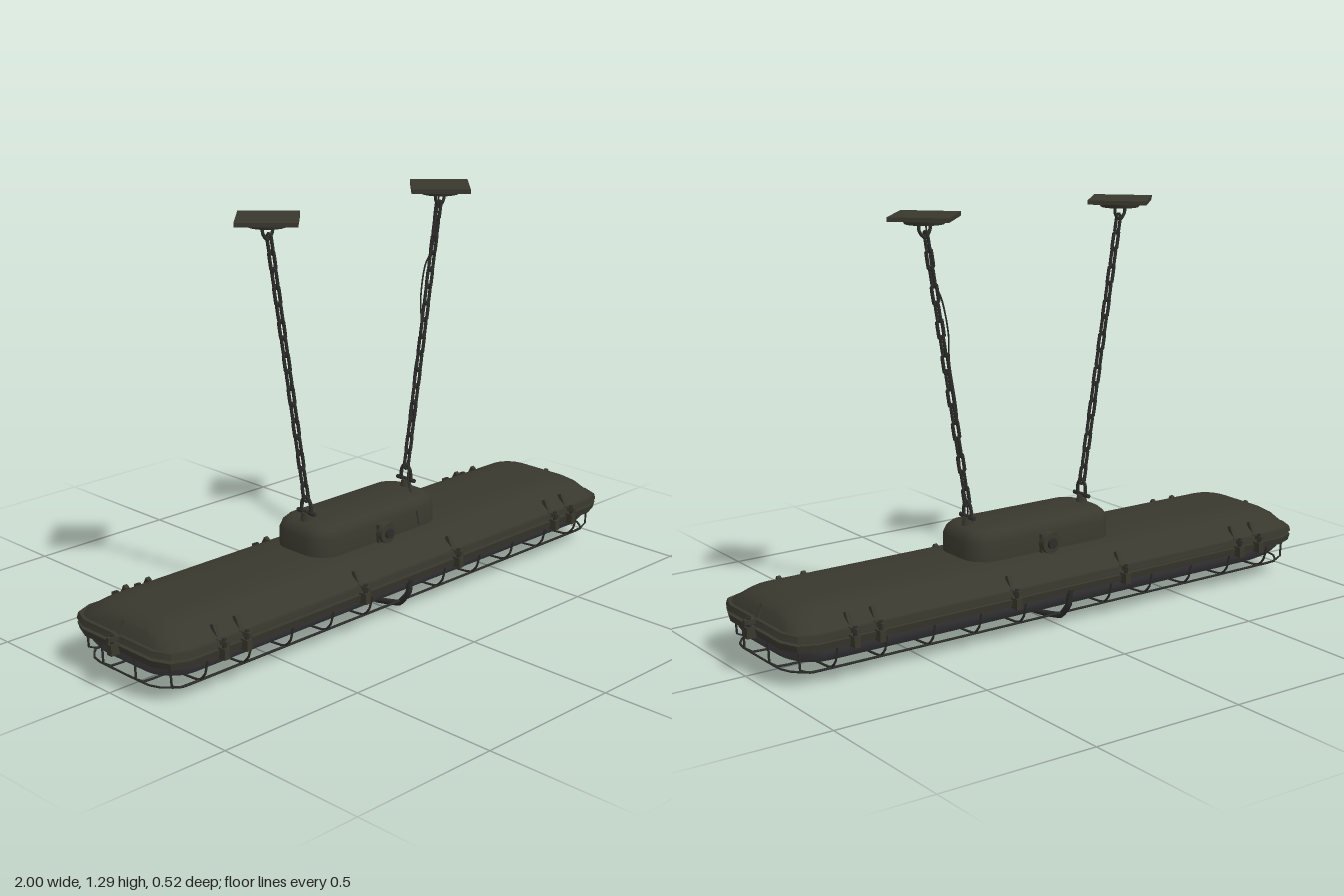
import * as THREE from 'three';
import { toCreasedNormals } from 'three/addons/utils/BufferGeometryUtils.js';

const mat = (name, color) => {
  const m = new THREE.MeshStandardMaterial({ color });
  m.name = name;
  return m;
};
const V = (x, y, z) => new THREE.Vector3(x, y, z);

// Rounded rectangle in the xz plane
function outline(hx, hz, r, seg) {
  const pts = [];
  [[1, 1], [-1, 1], [-1, -1], [1, -1]].forEach(([sx, sz], q) => {
    for (let i = 0; i <= seg; i++) {
      const a = (q + i / seg) * Math.PI / 2;
      pts.push([sx * (hx - r) + r * Math.cos(a), sz * (hz - r) + r * Math.sin(a)]);
    }
  });
  return pts;
}

// Closed body through sections [y, halfX, halfZ, cornerRadius], bottom to top
function loft(sections, seg, crease = 0.6) {
  const pos = [];
  const rings = sections.map(([y, hx, hz, r]) => outline(hx, hz, r, seg).map(([x, z]) => [x, y, z]));
  const n = rings[0].length;
  const last = rings.length - 1;
  const bottom = [0, sections[0][0], 0], top = [0, sections[last][0], 0];
  for (let i = 0; i < n; i++) {
    const j = (i + 1) % n;
    for (let k = 0; k < last; k++) {
      const a = rings[k][i], b = rings[k][j], c = rings[k + 1][j], d = rings[k + 1][i];
      pos.push(...a, ...d, ...b, ...b, ...d, ...c);
    }
    pos.push(...bottom, ...rings[0][i], ...rings[0][j]);
    pos.push(...top, ...rings[last][j], ...rings[last][i]);
  }
  const g = new THREE.BufferGeometry();
  g.setAttribute('position', new THREE.Float32BufferAttribute(pos, 3));
  return toCreasedNormals(g, crease);
}

// Round bar along points
function bar(points, radius, { closed = false, tension = 0.2, steps = 32, sides = 6 } = {}) {
  const curve = new THREE.CatmullRomCurve3(points, closed, 'catmullrom', tension);
  return new THREE.TubeGeometry(curve, steps, radius, sides, closed);
}

export function createModel() {
  const root = new THREE.Group();
  root.name = 'hangingLamp';
  const paint = mat('olive paint', 0x39382e);
  const glass = mat('smoked glass', 0x424245);
  const steel = mat('dark steel', 0x2c2c2a);

  const add = (name, geo, material, parent = root, x = 0, y = 0, z = 0) => {
    const m = new THREE.Mesh(geo, material);
    m.name = name;
    m.position.set(x, y, z);
    parent.add(m);
    return m;
  };
  const group = (name, parent = root) => {
    const g = new THREE.Group();
    g.name = name;
    parent.add(g);
    return g;
  };

  // Lamp body
  add('glassCover', loft([
    [0.046, 0.86, 0.11, 0.07], [0.054, 0.9, 0.155, 0.09], [0.075, 0.935, 0.19, 0.1],
    [0.1, 0.95, 0.21, 0.1], [0.125, 0.955, 0.218, 0.1],
  ], 6, 0.9), glass);
  add('flange', loft([
    [0.118, 0.965, 0.232, 0.08], [0.14, 0.97, 0.236, 0.08], [0.14, 0.955, 0.222, 0.08],
    [0.15, 0.955, 0.222, 0.08], [0.15, 0.97, 0.238, 0.08], [0.168, 0.965, 0.236, 0.08],
  ], 2), paint);
  add('housing', loft([
    [0.165, 0.955, 0.228, 0.08], [0.175, 0.95, 0.218, 0.08], [0.2, 0.935, 0.182, 0.08],
    [0.215, 0.91, 0.158, 0.07], [0.224, 0.87, 0.13, 0.06], [0.229, 0.82, 0.1, 0.05],
  ], 4, 0.5), paint);
  add('gearBox', loft([
    [0.2, 0.27, 0.114, 0.07], [0.285, 0.27, 0.114, 0.07], [0.305, 0.262, 0.106, 0.065],
    [0.318, 0.248, 0.094, 0.06], [0.324, 0.23, 0.08, 0.05],
  ], 6, 0.7), paint);

  // Cable glands on both long sides of the gear box
  for (const s of [1, -1]) {
    const gland = group('cableGland');
    gland.position.set(0, 0.255, s * 0.114);
    add('glandBase', new THREE.BoxGeometry(0.06, 0.06, 0.024), paint, gland);
    const nut = add('glandNut', new THREE.CylinderGeometry(0.033, 0.035, 0.022, 16), paint, gland, 0, 0, s * 0.014);
    nut.rotation.x = s * Math.PI / 2;
    const plug = add('glandPlug', new THREE.CylinderGeometry(0.016, 0.018, 0.012, 12), steel, gland, 0, 0, s * 0.027);
    plug.rotation.x = s * Math.PI / 2;
  }

  // Clamps around the flange; local +z points outward, origin at the tip
  const clamp = (x, z, turn) => {
    const g = group('clamp');
    g.position.set(x, 0, z);
    g.rotation.y = turn;
    const arm = new THREE.BoxGeometry(0.024, 0.014, 0.07, 1, 1, 2);
    const p = arm.attributes.position;
    for (let i = 0; i < p.count; i++) if (p.getZ(i) > 0.03) p.setX(i, p.getX(i) * 0.45);
    add('clampArm', toCreasedNormals(arm, 0.3), paint, g, 0, 0.163, -0.035);
    add('clampHook', new THREE.BoxGeometry(0.02, 0.034, 0.03), paint, g, 0, 0.13, -0.02);
    add('clampBolt', new THREE.CylinderGeometry(0.007, 0.007, 0.06, 8), steel, g, 0, 0.145, -0.017);
    const lever = add('clampLever', new THREE.BoxGeometry(0.014, 0.045, 0.014), paint, g, 0, 0.185, -0.055);
    lever.rotation.x = -0.5;
  };
  for (const x of [-0.775, -0.69, -0.21, 0.21, 0.69, 0.775]) {
    clamp(x, 0.262, 0);
    clamp(x, -0.262, Math.PI);
  }
  clamp(1, 0, Math.PI / 2);
  clamp(-1, 0, -Math.PI / 2);

  // Wire guard under the glass
  const guard = group('wireGuard');
  for (let k = -5; k <= 5; k++) {
    const x = k * 0.165;
    if (k === 0) continue;
    add('crossWire', bar([
      V(x, 0.125, 0.23), V(x, 0.075, 0.218), V(x, 0.045, 0.185), V(x, 0.036, 0),
      V(x, 0.045, -0.185), V(x, 0.075, -0.218), V(x, 0.125, -0.23),
    ], 0.0035), steel, guard);
  }
  for (const [z, y] of [[0.19, 0.045], [0.075, 0.037], [-0.075, 0.037], [-0.19, 0.045]]) {
    const e = Math.abs(z) > 0.1 ? 0.93 : 0.965;
    add('longWire', bar([
      V(-e, 0.125, z), V(-e + 0.005, 0.07, z), V(-e + 0.05, y, z),
      V(e - 0.05, y, z), V(e - 0.005, 0.07, z), V(e, 0.125, z),
    ], 0.0035, { steps: 60, tension: 0.1 }), steel, guard);
  }
  // Rim wire around the bottom of the guard
  add('rimWire', bar(outline(0.95, 0.195, 0.09, 4).map(([x, z]) => V(x, 0.046, z)), 0.0035,
    { closed: true, steps: 120, tension: 0.1 }), steel, guard);
  add('centreHoop', bar([
    V(0, 0.13, 0.232), V(0, 0.08, 0.225), V(0, 0.035, 0.185), V(0, 0.018, 0.1), V(0, 0.01, 0),
    V(0, 0.018, -0.1), V(0, 0.035, -0.185), V(0, 0.08, -0.225), V(0, 0.13, -0.232),
  ], 0.01, { steps: 48, sides: 8 }), steel, guard);

  // Chain link: long loop in the local xy plane
  const loop = [];
  for (let i = 0; i < 12; i++) {
    const a = (i + 0.5) / 12 * Math.PI * 2;
    loop.push(V(0.0095 * Math.cos(a), 0.0095 * Math.sin(a) + Math.sign(Math.sin(a)) * 0.021, 0));
  }
  const linkGeo = bar(loop, 0.0055, { closed: true, steps: 24, tension: 0.5 });

  for (const s of [1, -1]) {
    const side = group(s > 0 ? 'leftSuspension' : 'rightSuspension');

    // Shackle on the gear box
    const x0 = s * 0.222;
    add('lug', new THREE.CylinderGeometry(0.014, 0.02, 0.03, 10), paint, side, x0, 0.332, 0);
    const pin = add('shacklePin', new THREE.CylinderGeometry(0.007, 0.007, 0.076, 8), steel, side, x0, 0.347, 0);
    pin.rotation.x = Math.PI / 2;
    add('shackle', bar([
      V(x0, 0.342, 0.021), V(x0, 0.378, 0.018), V(x0, 0.396, 0),
      V(x0, 0.378, -0.018), V(x0, 0.342, -0.021),
    ], 0.006, { tension: 0.5 }), steel, side);

    // Chain
    const from = V(x0, 0.385, 0), to = V(s * 0.363, 1.235, 0);
    const chain = group('chain', side);
    chain.position.copy(from);
    chain.rotation.z = -Math.atan2(to.x - from.x, to.y - from.y);
    const count = 16, pitch = from.distanceTo(to) / count;
    for (let i = 0; i < count; i++) {
      const link = add('chainLink', linkGeo, steel, chain, 0, (i + 0.5) * pitch, 0);
      link.rotation.y = i % 2 ? Math.PI / 2 : 0;
    }

    // Ceiling plate, puck and hanging eye
    const xt = s * 0.367;
    const plate = add('ceilingPlate', new THREE.BoxGeometry(0.184, 0.013, 0.184), paint, side, xt, 1.283, 0);
    plate.rotation.y = Math.PI / 4;
    add('ceilingPuck', new THREE.CylinderGeometry(0.068, 0.06, 0.016, 20), paint, side, xt, 1.27, 0);
    add('ceilingEye', bar([
      V(xt - 0.02, 1.265, 0), V(xt - 0.018, 1.24, 0), V(xt, 1.222, 0),
      V(xt + 0.018, 1.24, 0), V(xt + 0.02, 1.265, 0),
    ], 0.005, { tension: 0.5 }), steel, side);
  }

  // Supply cable running up the left chain
  add('supplyCable', bar([
    V(0.12, 0.255, 0.155), V(0.17, 0.3, 0.09), V(0.2, 0.36, 0.03), V(0.245, 0.5, 0.004),
    V(0.262, 0.68, -0.006), V(0.275, 0.83, 0.012), V(0.292, 0.93, -0.008), V(0.318, 1.03, -0.016), V(0.338, 1.1, 0),
    V(0.363, 1.262, 0),
  ], 0.0028, { steps: 64, tension: 0.5 }), steel);

  return root;
}
